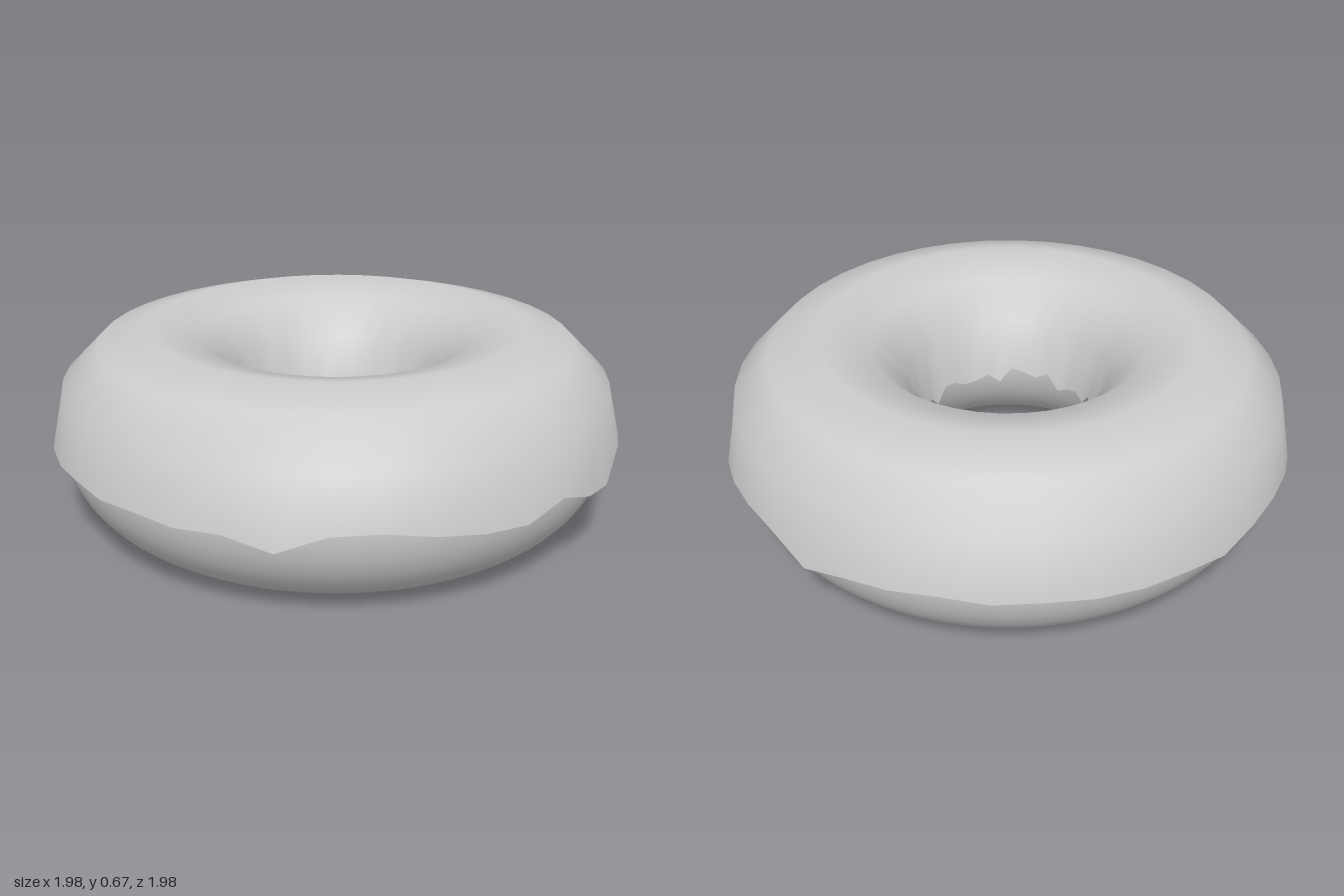
import * as THREE from 'three';
import { toCreasedNormals } from 'three/addons/utils/BufferGeometryUtils.js';

const SIDES = 40;          // steps around the ring
const ARC = 6;             // steps over the top of the icing
const CENTRE_Y = 0.32;

// Height of the dripping outer edge, from the front (+z) round past +x
const outerEdge = [
  0.27, 0.25, 0.325, 0.30, 0.275, 0.31, 0.25, 0.285, 0.305, 0.32,
  0.315, 0.25, 0.29, 0.30, 0.315, 0.30, 0.305, 0.295, 0.29, 0.29,
  0.27, 0.30, 0.31, 0.30, 0.27, 0.28, 0.30, 0.30, 0.31, 0.30,
  0.31, 0.30, 0.31, 0.27, 0.33, 0.335, 0.31, 0.29, 0.28, 0.32,
];

// Uneven drip height inside the hole
const innerEdge = (k) => 0.295 + 0.025 * Math.sin(k * 2.4) + 0.015 * Math.cos(k * 0.9 + 1);

// Closed half-ring cross-section: outer skin over the top, then back underneath
function icingSection(k) {
  const points = [];
  const addArc = (ringRadius, tubeRadius, reverse) => {
    for (let i = 0; i <= ARC; i++) {
      const j = reverse ? ARC - i : i;
      const a = (j / ARC) * Math.PI;
      let y = CENTRE_Y + tubeRadius * Math.sin(a);
      if (j === 0) y = outerEdge[k];
      if (j === ARC) y = innerEdge(k);
      points.push([ringRadius + tubeRadius * Math.cos(a), y]);
    }
  };
  addArc(0.645, 0.345, false);
  addArc(0.64, 0.315, true);
  return points;
}

function icingGeometry() {
  const positions = [];
  const indices = [];
  const count = 2 * (ARC + 1);
  for (let k = 0; k < SIDES; k++) {
    const angle = (k / SIDES) * Math.PI * 2;
    for (const [r, y] of icingSection(k)) {
      positions.push(r * Math.sin(angle), y, r * Math.cos(angle));
    }
    const next = (k + 1) % SIDES;
    for (let j = 0; j < count; j++) {
      const up = (j + 1) % count;
      const a = k * count + j, b = next * count + j;
      const c = next * count + up, d = k * count + up;
      indices.push(a, b, c, a, c, d);
    }
  }
  const geometry = new THREE.BufferGeometry();
  geometry.setAttribute('position', new THREE.Float32BufferAttribute(positions, 3));
  geometry.setIndex(indices);
  return toCreasedNormals(geometry, 1.05);
}

export function createModel() {
  const group = new THREE.Group();
  group.name = 'doughnut';
  const material = new THREE.MeshStandardMaterial({ color: 0xcccccc });

  // Smooth dough ring
  const doughGeometry = new THREE.TorusGeometry(0.638, 0.32, 48, 120);
  doughGeometry.rotateX(Math.PI / 2);
  const dough = new THREE.Mesh(doughGeometry, material);
  dough.name = 'dough';
  dough.position.y = CENTRE_Y;
  group.add(dough);

  // Icing shell with a wavy dripping edge
  const icing = new THREE.Mesh(icingGeometry(), material);
  icing.name = 'icing';
  group.add(icing);

  return group;
}
